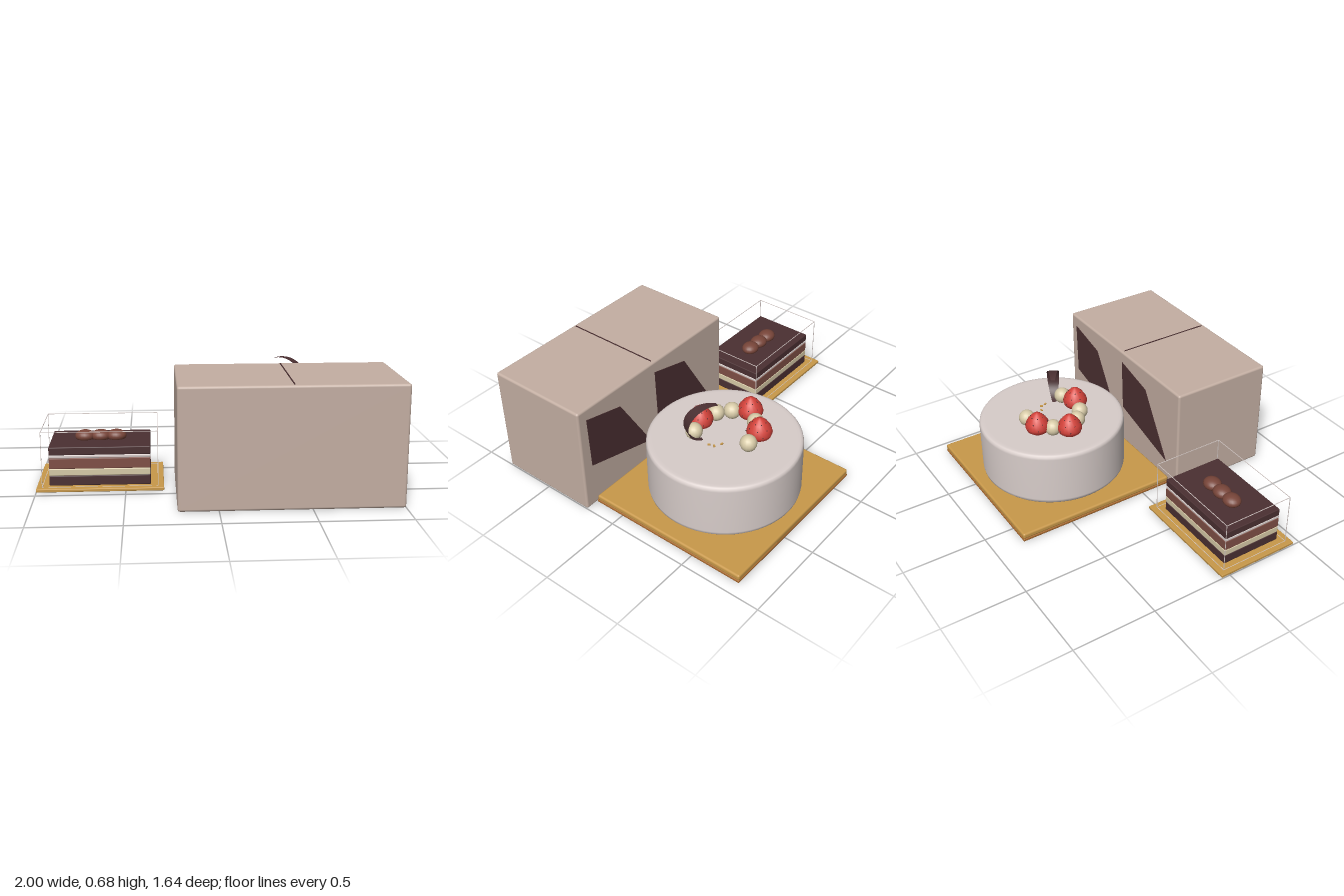
import * as THREE from 'three';
import { RoundedBoxGeometry } from 'three/addons/geometries/RoundedBoxGeometry.js';

const mat = (name, color, side = THREE.FrontSide) => {
  const m = new THREE.MeshStandardMaterial({ color, side });
  m.name = name;
  return m;
};

export function createModel() {
  const card = mat('blush card', 0xc4afa3);
  const frosting = mat('pale frosting', 0xd8cdca);
  const gold = mat('gold board', 0xc9994a);
  const bronze = mat('bronze board', 0xab6c30);
  const dark = mat('dark chocolate', 0x4b3032, THREE.DoubleSide);
  const milk = mat('milk chocolate', 0x7f4f45);
  const truffle = mat('truffle', 0x784539);
  const cream = mat('vanilla cream', 0xd8cba8);
  const red = mat('strawberry red', 0xd3423a);

  const model = new THREE.Group();
  model.name = 'cakeDisplay';
  const group = (name, parent = model) => {
    const g = new THREE.Group();
    g.name = name;
    parent.add(g);
    return g;
  };
  const add = (parent, name, geometry, material, x = 0, y = 0, z = 0) => {
    const mesh = new THREE.Mesh(geometry, material);
    mesh.name = name;
    mesh.position.set(x, y, z);
    parent.add(mesh);
    return mesh;
  };
  // Rounded block given by its minimum and maximum on each axis
  const block = (parent, name, material, [x0, x1], [y0, y1], [z0, z1], r) =>
    add(parent, name, new RoundedBoxGeometry(x1 - x0, y1 - y0, z1 - z0, 2, r), material,
      (x0 + x1) / 2, (y0 + y1) / 2, (z0 + z1) / 2);

  // Cake carton with a lid seam and two dark panels on the back
  const carton = group('carton');
  block(carton, 'cartonBody', card, [-0.22, 1], [0, 0.675], [0.19, 0.82], 0.014);
  add(carton, 'lidSeam', new THREE.BoxGeometry(0.006, 0.005, 0.59), dark, 0.39, 0.676, 0.505);
  for (const x of [0.94, 0.386]) {
    const panel = new THREE.Shape([[0, 0.605], [-0.26, 0.54], [-0.49, 0.15], [-0.01, 0.28]]
      .map(([px, py]) => new THREE.Vector2(px, py)));
    add(carton, 'backPanel', new THREE.ExtrudeGeometry(panel, { depth: 0.004, bevelEnabled: false }),
      dark, x, 0, 0.187);
  }

  // Round cake on a double board
  const cake = group('roundCake');
  block(cake, 'lowerBoard', bronze, [-0.14, 0.92], [0, 0.018], [-0.82, 0.19], 0.006);
  block(cake, 'upperBoard', gold, [-0.14, 0.92], [0.016, 0.052], [-0.82, 0.185], 0.012);
  const cakeProfile = [[0, 0.05], [0.42, 0.05], [0.437, 0.068], [0.44, 0.085], [0.44, 0.375],
    [0.437, 0.388], [0.43, 0.397], [0.418, 0.4], [0.4, 0.4], [0, 0.4]];
  add(cake, 'cakeBody', new THREE.LatheGeometry(
    cakeProfile.map(([r, y]) => new THREE.Vector2(r, y)), 64), frosting, 0.39, 0, -0.32);

  // Strawberries with seeds
  const berryProfile = [[0, 0], [0.045, 0], [0.066, 0.018], [0.074, 0.042], [0.066, 0.072],
    [0.044, 0.104], [0.02, 0.126], [0, 0.134]].map(([r, y]) => new THREE.Vector2(r, y));
  const berryGeo = new THREE.LatheGeometry(berryProfile, 20);
  const seedGeo = new THREE.SphereGeometry(0.0035, 6, 4);
  for (const [x, z] of [[0.28, -0.475], [0.16, -0.325], [0.395, -0.15]]) {
    const berry = group('strawberry', cake);
    berry.position.set(x, 0.398, z);
    add(berry, 'strawberryFlesh', berryGeo, red);
    [[0.073, 0.045], [0.061, 0.079], [0.038, 0.109]].forEach(([r, y], row) => {
      for (let i = 0; i < 7; i++) {
        const a = (i + row / 2) * Math.PI * 2 / 7;
        add(berry, 'seed', seedGeo, dark, r * Math.cos(a), y, r * Math.sin(a));
      }
    });
  }

  // Cream balls between the berries
  const ballGeo = new THREE.SphereGeometry(0.049, 16, 12);
  for (const [x, z] of [[0.395, -0.485], [0.22, -0.405], [0.22, -0.24], [0.29, -0.18], [0.495, -0.185]])
    add(cake, 'creamBall', ballGeo, cream, x, 0.434, z);

  // Chocolate curl: an upright arc swept into a tapering ribbon
  const steps = 24, pos = [], index = [];
  for (let i = 0; i <= steps; i++) {
    const t = i / steps;
    const a = THREE.MathUtils.degToRad(-75 + t * 190);
    const w = 0.012 + 0.026 * Math.sin(Math.PI * t);
    for (const s of [-1, 1]) pos.push(0.085 + 0.13 * Math.cos(a), 0.515 + 0.113 * Math.sin(a), s * w);
    if (i < steps) index.push(2 * i, 2 * i + 1, 2 * i + 2, 2 * i + 1, 2 * i + 3, 2 * i + 2);
  }
  const curlGeo = new THREE.BufferGeometry();
  curlGeo.setAttribute('position', new THREE.Float32BufferAttribute(pos, 3));
  curlGeo.setIndex(index);
  curlGeo.computeVertexNormals();
  add(cake, 'chocolateCurl', curlGeo, dark, 0.39, 0, -0.3).rotation.y = -0.5;

  // Gold flakes
  [[0.46, -0.352], [0.5, -0.33], [0.508, -0.3]].forEach(([x, z], i) => {
    add(cake, 'goldFlake', new THREE.BoxGeometry(0.016, 0.006, 0.01), gold, x, 0.403, z).rotation.y = i;
  });

  // Layered slice on its own board
  const slice = group('cakeSlice');
  block(slice, 'sliceBoard', gold, [-1, -0.285], [0.004, 0.022], [-0.055, 0.455], 0.004);
  const layers = [['baseLayer', dark, 0.022, 0.079], ['vanillaLayer', cream, 0.079, 0.119],
    ['spongeLayer', milk, 0.119, 0.181], ['frostingLayer', frosting, 0.181, 0.199],
    ['topLayer', dark, 0.199, 0.245]];
  for (const [name, material, y0, y1] of layers)
    block(slice, name, material, [-0.93, -0.36], [y0, y1], [0.012, 0.39], 0.005);
  for (const x of [-0.735, -0.645, -0.555])
    add(slice, 'truffleBall', new THREE.SphereGeometry(1, 20, 14), truffle, x, 0.262, 0.2)
      .scale.set(0.058, 0.036, 0.052);

  // Thin edges of the clear case around the slice
  const cover = group('sliceCase', slice);
  const [w, h, d, t] = [0.65, 0.318, 0.44, 0.003];
  cover.position.set(-0.643, 0.181, 0.2);
  for (const a of [-0.5, 0.5]) {
    for (const b of [-0.5, 0.5]) {
      add(cover, 'caseEdge', new THREE.BoxGeometry(w, t, t), frosting, 0, a * h, b * d);
      add(cover, 'caseEdge', new THREE.BoxGeometry(t, h, t), frosting, a * w, 0, b * d);
      add(cover, 'caseEdge', new THREE.BoxGeometry(t, t, d), frosting, a * w, b * h, 0);
    }
  }
  return model;
}
